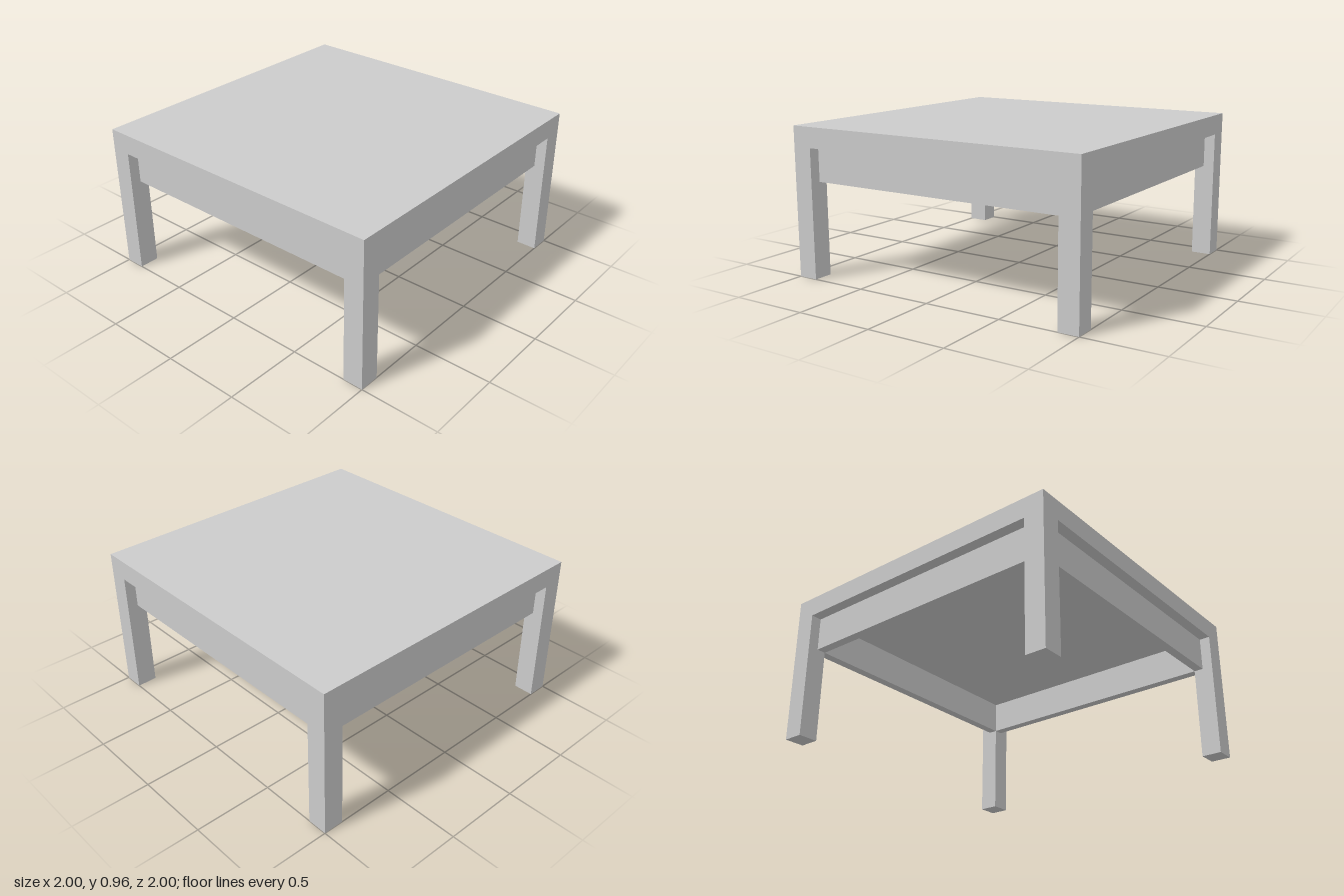
import * as THREE from 'three';

const HEIGHT = 0.96, UNDERSIDE = 0.83, APRON_BOTTOM = 0.61;
const LEG = 0.13, APRON_INSET = 0.07;

export function createModel() {
  const table = new THREE.Group();
  table.name = 'table';
  const material = new THREE.MeshStandardMaterial({ color: 0xcccccc });

  // Box standing between two heights
  const addBox = (name, width, depth, bottom, top, x, z) => {
    const mesh = new THREE.Mesh(new THREE.BoxGeometry(width, top - bottom, depth), material);
    mesh.name = name;
    mesh.position.set(x, (bottom + top) / 2, z);
    table.add(mesh);
  };

  // Thick square top
  addBox('tableTop', 2, 2, UNDERSIDE, HEIGHT, 0, 0);

  // Square legs flush with the corners
  const legCentre = 1 - LEG / 2;
  for (const [xName, sx] of [['Left', 1], ['Right', -1]]) {
    for (const [zName, sz] of [['front', 1], ['back', -1]]) {
      addBox(`${zName}${xName}Leg`, LEG, LEG, 0, UNDERSIDE, sx * legCentre, sz * legCentre);
    }
  }

  // Aprons set back from the edge, inner faces flush with the legs
  const span = 2 - 2 * LEG;
  const thickness = LEG - APRON_INSET;
  const apronCentre = 1 - APRON_INSET - thickness / 2;
  for (const s of [1, -1]) {
    addBox(s > 0 ? 'frontApron' : 'backApron', span, thickness, APRON_BOTTOM, UNDERSIDE, 0, s * apronCentre);
    addBox(s > 0 ? 'leftApron' : 'rightApron', thickness, span, APRON_BOTTOM, UNDERSIDE, s * apronCentre, 0);
  }

  return table;
}
